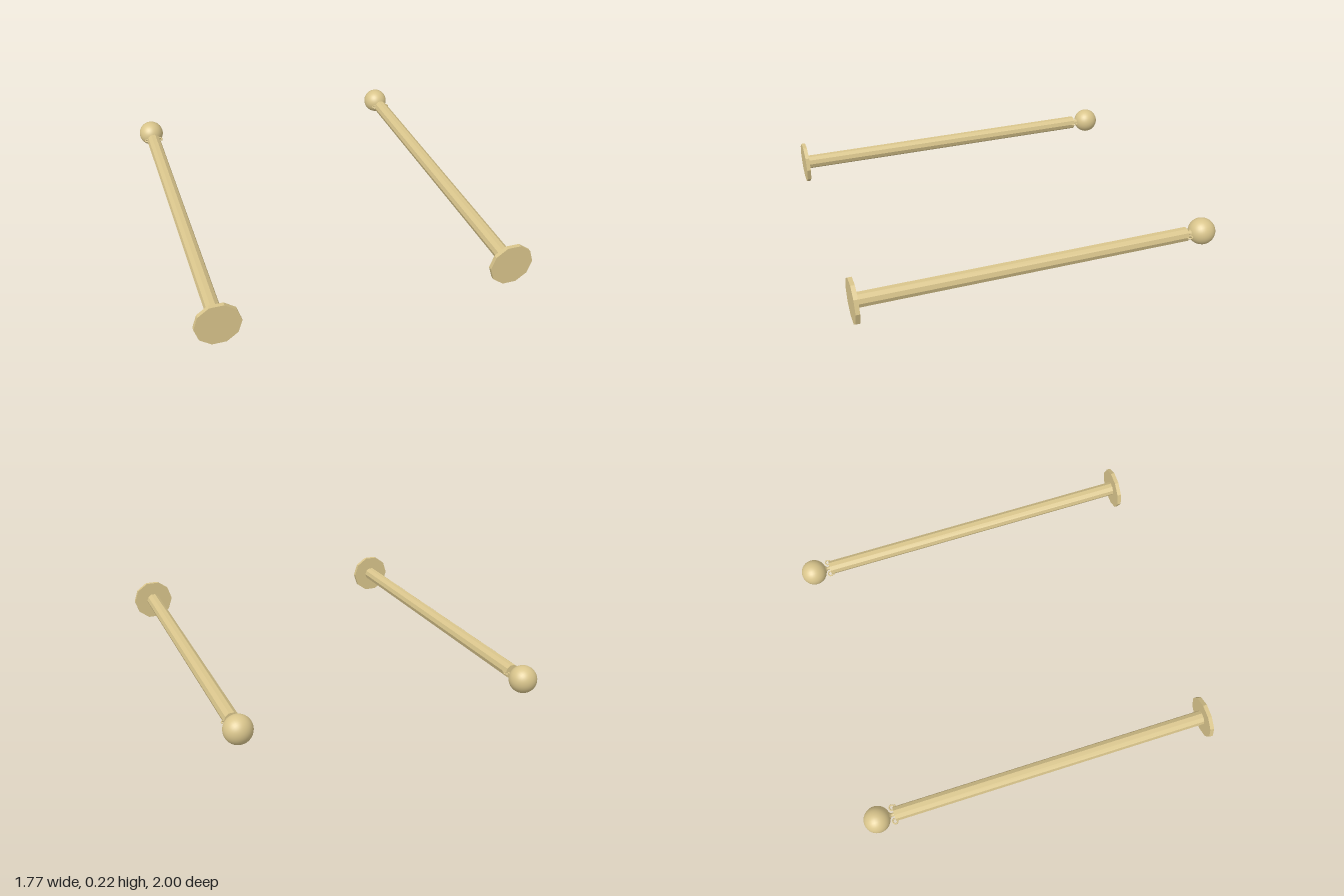
import * as THREE from 'three';

const flat = new THREE.MeshStandardMaterial({ color: 0xd9c58c, flatShading: true });
const smooth = new THREE.MeshStandardMaterial({ color: 0xd9c58c });

function add(parent, name, geometry, material, x, y) {
  const mesh = new THREE.Mesh(geometry, material);
  mesh.name = name;
  mesh.position.set(x, y, 0);
  parent.add(mesh);
  return mesh;
}

// Ten-sided prism with corners pointing along +-x
function decagon(radius, height) {
  return new THREE.CylinderGeometry(radius, radius, height, 10).rotateY(Math.PI / 2);
}

// One post, built upright; inner is the x direction facing the other post
function createPost(inner) {
  const post = new THREE.Group();
  add(post, 'baseDisc', decagon(0.118, 0.022), flat, 0, 0.011);
  add(post, 'pole', decagon(0.04, 1.79), flat, 0, 0.915);

  // Finial: narrow neck flaring into a ball
  const neck = [[0.012, 1.805], [0.009, 1.825], [0.014, 1.832], [0.032, 1.846]]
    .map(([r, y]) => new THREE.Vector2(r, y));
  add(post, 'neck', new THREE.LatheGeometry(neck, 16), smooth, 0, 0);
  add(post, 'ball', new THREE.SphereGeometry(0.073, 32, 20), smooth, 0, 1.907);

  // Rope rings at the top edge of the pole
  for (const side of [-1, 1]) {
    add(post, 'ring', new THREE.TorusGeometry(0.014, 0.004, 8, 20), smooth, side * 0.038, 1.815);
  }

  // Small hook below the inner ring
  const hook = new THREE.CatmullRomCurve3([[0.036, 1.803], [0.04, 1.796], [0.046, 1.793], [0.051, 1.798]]
    .map(([x, y]) => new THREE.Vector3(inner * x, y, 0)));
  add(post, 'hook', new THREE.TubeGeometry(hook, 10, 0.003, 6), smooth, 0, 0);
  return post;
}

export function createModel() {
  const model = new THREE.Group();
  // Both posts lie down with their bases at the front, one slightly ahead
  for (const [name, x, z] of [['rightPost', -0.767, 0.98], ['leftPost', 0.764, 1]]) {
    const post = createPost(-Math.sign(x));
    post.name = name;
    post.rotation.x = -Math.PI / 2;
    post.position.set(x, 0.112, z);
    model.add(post);
  }
  return model;
}
